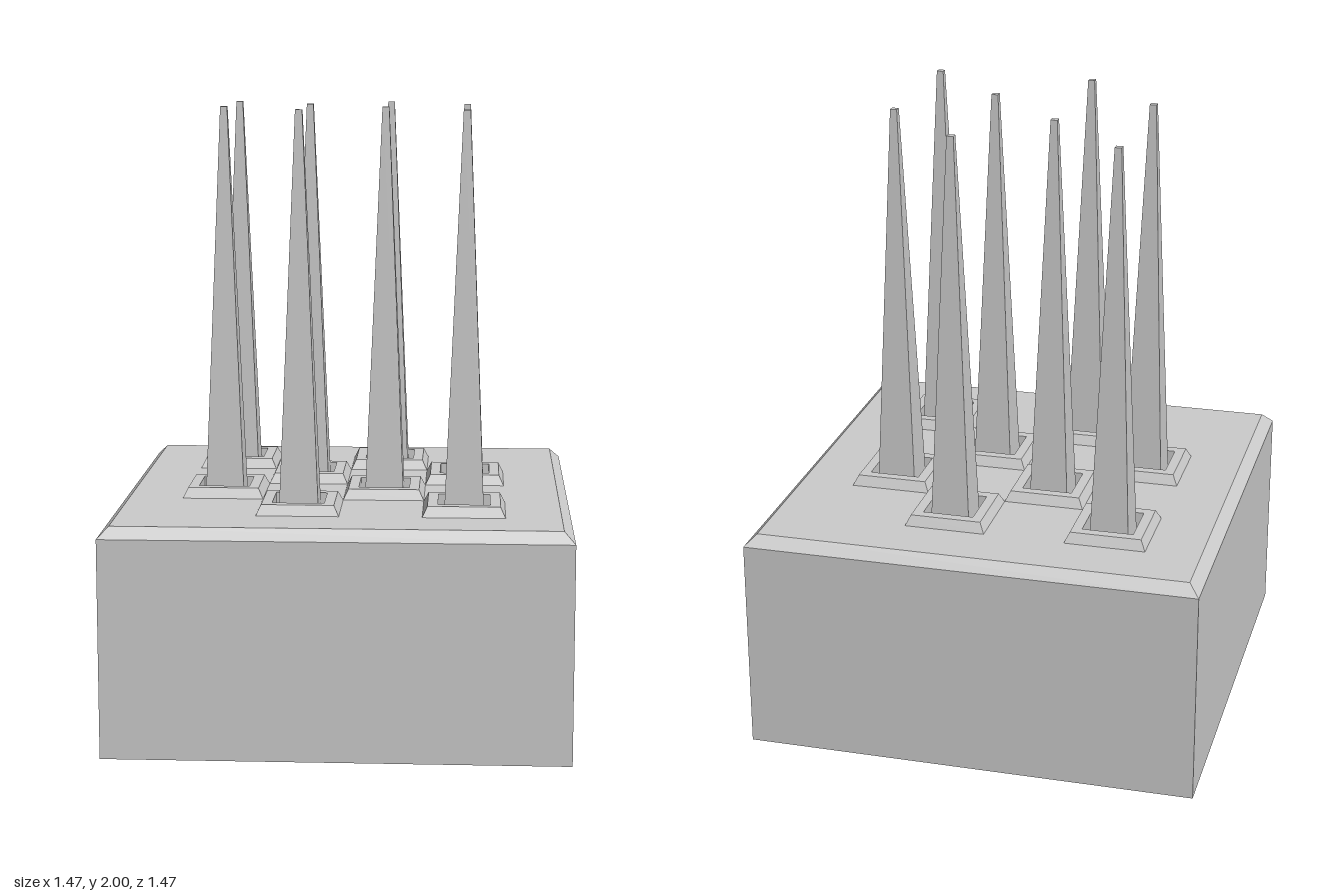
import * as THREE from 'three';

const material = new THREE.MeshStandardMaterial({
  color: 0xcccccc, flatShading: true, side: THREE.DoubleSide,
});

// Square-section body from a profile of [half width, height] pairs
function squareLoft(name, profile) {
  const points = profile.map(([half, y]) => new THREE.Vector2(half * Math.SQRT2, y));
  const mesh = new THREE.Mesh(new THREE.LatheGeometry(points, 4, Math.PI / 4), material);
  mesh.name = name;
  return mesh;
}

function squarePath(path, x, y, half) {
  path.moveTo(x - half, y - half);
  path.lineTo(x + half, y - half);
  path.lineTo(x + half, y + half);
  path.lineTo(x - half, y + half);
  path.closePath();
  return path;
}

export function createModel() {
  const group = new THREE.Group();
  group.name = 'spikeTrap';

  const step = 0.262;
  const topY = 0.735;

  // Open-bottomed block with a bevelled upper rim
  group.add(squareLoft('baseWalls', [[0.735, 0], [0.735, 0.7], [0.7, topY]]));

  // Top plate, cut out under each spike collar
  const plate = squarePath(new THREE.Shape(), 0, 0, 0.7);

  // Checkerboard of spikes in sunken sockets
  for (let row = 0; row < 4; row++) {
    for (let col = row % 2; col < 4; col += 2) {
      const x = (col - 1.5) * step;
      const z = (row - 1.5) * step;
      plate.holes.push(squarePath(new THREE.Path(), x, -z, 0.13));

      const unit = new THREE.Group();
      unit.name = 'spikeUnit';
      unit.position.set(x, 0, z);
      // Bevelled collar running down into a closed square shaft
      unit.add(squareLoft('collarAndSocket', [
        [0.131, topY], [0.115, 0.768], [0.0825, 0.768], [0.0825, 0.29], [0, 0.29],
      ]));
      // Tapered spike with a tiny flat tip
      unit.add(squareLoft('spike', [[0.081, 0.292], [0.011, 2], [0, 2]]));
      group.add(unit);
    }
  }

  const plateGeometry = new THREE.ShapeGeometry(plate);
  plateGeometry.rotateX(-Math.PI / 2);
  const plateMesh = new THREE.Mesh(plateGeometry, material);
  plateMesh.name = 'topPlate';
  plateMesh.position.y = topY;
  group.add(plateMesh);

  return group;
}
